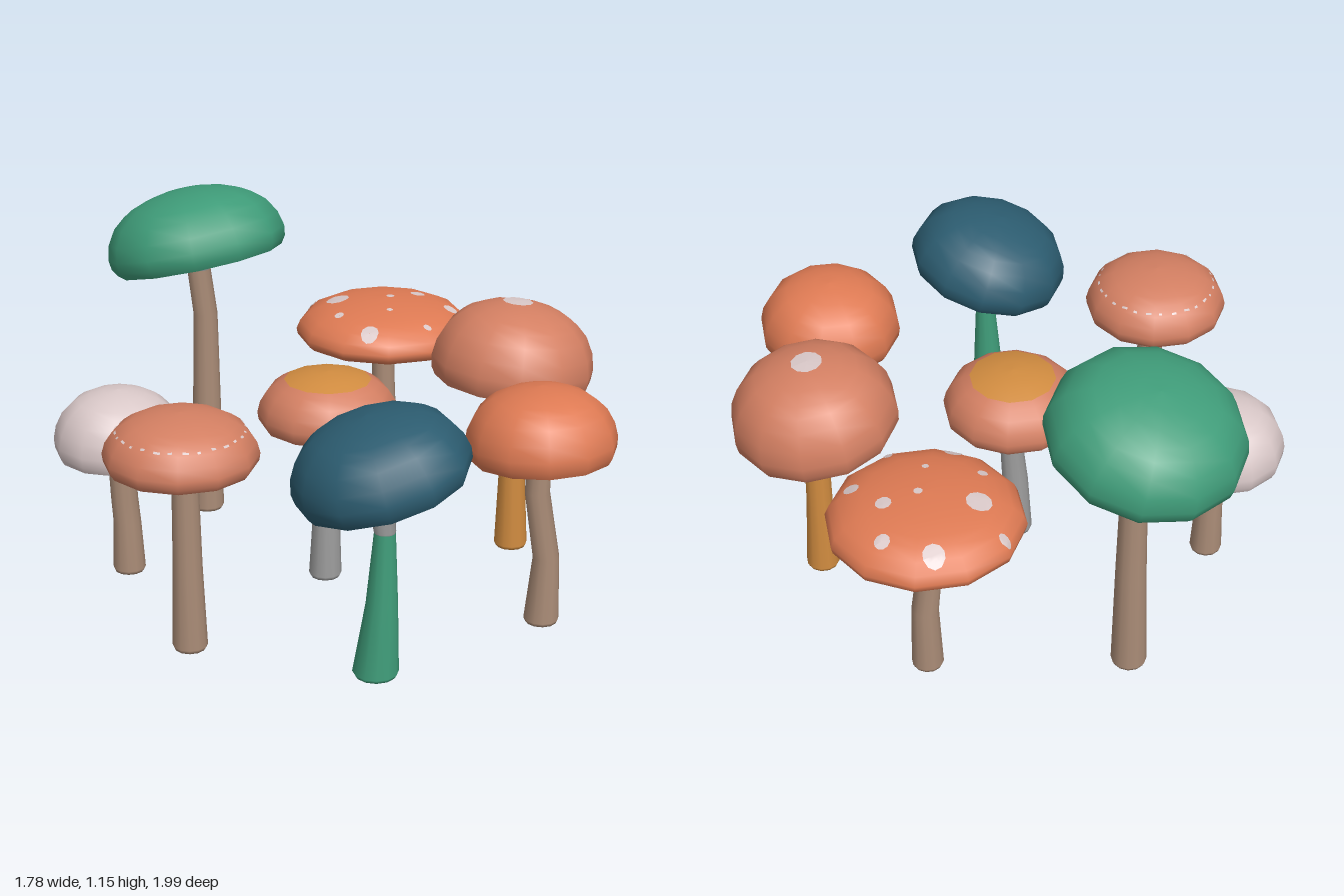
import * as THREE from 'three';

const mat = (name, color) => {
  const m = new THREE.MeshStandardMaterial({ color });
  m.name = name;
  return m;
};
const V = (x, y) => new THREE.Vector2(x, y);
const SIDES = 12;

// Cap outline as fractions of radius and height
const DOME = [[0.93, 0], [0.985, 0.1], [1, 0.24], [0.96, 0.44], [0.86, 0.64], [0.73, 0.77], [0.62, 0.85], [0.44, 0.93], [0.22, 0.985], [0, 1]];
const GILLS = [[0.08, 0.3], [0.3, 0.26], [0.6, 0.18], [0.87, 0.03], [0.93, 0]];

export function createModel() {
  const green = mat('green', 0x3f9c79);
  const blue = mat('deep blue', 0x2c5c70);
  const orange = mat('orange', 0xde7a53);
  const salmon = mat('salmon', 0xd37f62);
  const pale = mat('pale pink', 0xd9c8c8);
  const tan = mat('tan', 0xaa8c77);
  const gold = mat('gold', 0xd18c40);
  const grey = mat('grey', 0x9d9d9d);

  const root = new THREE.Group();
  root.name = 'mushroomCluster';

  const add = (parent, name, geo, material) => {
    const m = new THREE.Mesh(geo, material);
    m.name = name;
    parent.add(m);
    return m;
  };

  // Bent, tapering stem through stations [y, x, z, radius]
  const stem = (parent, name, stations, material) => {
    const [y0, x0, z0, r0] = stations[0];
    const s = [[y0, x0, z0, 0], [y0, x0, z0, r0 * 0.9], [y0 + 0.012, x0, z0, r0], ...stations.slice(1)];
    const geo = new THREE.LatheGeometry(s.map(([y, , , r]) => V(r, y)), SIDES);
    const p = geo.attributes.position;
    for (let i = 0; i < p.count; i++) {
      const [, x, z] = s[i % s.length];
      p.setX(i, p.getX(i) + x);
      p.setZ(i, p.getZ(i) + z);
    }
    geo.computeBoundingSphere();
    add(parent, name, geo, material);
  };

  const lathe = (profile, r, h) => new THREE.LatheGeometry(profile.map(([a, b]) => V(a * r, b * h)), SIDES);

  // Thin patch laid onto the cap surface
  const patch = (cap, domes, name, geo, x, z) => {
    geo.rotateX(-Math.PI / 2);
    const p = geo.attributes.position;
    const ray = new THREE.Raycaster();
    const down = new THREE.Vector3(0, -1, 0);
    for (let i = 0; i < p.count; i++) {
      const px = p.getX(i) + x, pz = p.getZ(i) + z;
      ray.set(new THREE.Vector3(px + 1e-5, 2, pz + 1e-5), down);
      const hit = ray.intersectObjects(domes)[0];
      p.setXYZ(i, px, (hit ? hit.point.y : 0) + 0.004, pz);
    }
    geo.computeVertexNormals();
    add(cap, name, geo, pale);
  };

  const mushroom = ({ name, pos, r, h, tilt = [0, 0], top, gill, crown, gillCore, stems, spots = [], dashes }) => {
    const g = new THREE.Group();
    g.name = name;
    root.add(g);
    stems.forEach(([material, stations], i) => stem(g, i ? 'upperStem' : 'stem', stations, material));

    const cap = new THREE.Group();
    cap.name = 'cap';
    g.add(cap);
    const domes = [];
    if (crown) {
      domes.push(add(cap, 'capSkin', lathe(DOME.slice(0, 7), r, h), top));
      domes.push(add(cap, 'capCrown', lathe(DOME.slice(6), r, h), crown));
    } else {
      domes.push(add(cap, 'capSkin', lathe(DOME, r, h), top));
    }
    if (gillCore) {
      add(cap, 'gillCore', lathe(GILLS.slice(0, 3), r, h), gillCore);
      add(cap, 'gills', lathe(GILLS.slice(2), r, h), gill);
    } else {
      add(cap, 'gills', lathe(GILLS, r, h), gill);
    }
    spots.forEach(([x, z, s]) => patch(cap, domes, 'spot', new THREE.RingGeometry(0.0005, s, 10, 3), x, z));
    // Broken ring of small flecks
    if (dashes) {
      for (let i = 0; i < 28; i++) {
        const len = 0.05 + 0.07 * ((i * 7) % 5) / 5;
        patch(cap, domes, 'fleck', new THREE.RingGeometry(dashes, dashes + 0.006, 2, 1, i * Math.PI / 14, len), 0, 0);
      }
    }
    cap.position.set(...pos);
    cap.rotation.set(tilt[0], 0, tilt[1]);
  };

  mushroom({
    name: 'tallGreenMushroom', pos: [-0.075, 0.905, -0.68], r: 0.305, h: 0.25, tilt: [-0.24, 0.09],
    top: green, gill: green,
    stems: [
      [tan, [[0.01, -0.085, -0.64, 0.057], [0.4, -0.08, -0.64, 0.048], [0.73, -0.08, -0.638, 0.041], [0.88, -0.08, -0.68, 0.04]]],
      [grey, [[0.87, -0.08, -0.678, 0.04], [0.98, -0.08, -0.695, 0.042]]],
    ],
  });

  mushroom({
    name: 'paleMushroom', pos: [-0.575, 0.43, -0.315], r: 0.21, h: 0.22, top: pale, gill: pale,
    stems: [[tan, [[0.025, -0.565, -0.29, 0.053], [0.2, -0.57, -0.285, 0.045], [0.28, -0.57, -0.3, 0.044], [0.49, -0.575, -0.31, 0.043]]]],
  });

  mushroom({
    name: 'spottedMushroom', pos: [0.5, 0.605, -0.41], r: 0.305, h: 0.145, top: orange, gill: tan,
    stems: [[tan, [[0.025, 0.5, -0.388, 0.051], [0.25, 0.5, -0.38, 0.043], [0.4, 0.49, -0.395, 0.04], [0.64, 0.49, -0.405, 0.038]]]],
    spots: [[-0.13, -0.1, 0.04], [0.075, -0.23, 0.034], [0.19, -0.12, 0.024], [0.13, 0.01, 0.025], [0.18, 0.14, 0.024], [-0.175, 0.18, 0.03],
      [-0.2, 0.025, 0.016], [0.02, 0.005, 0.014], [-0.05, 0.11, 0.011], [0.015, 0.245, 0.014], [-0.15, -0.235, 0.018]],
  });

  mushroom({
    name: 'goldCrownedMushroom', pos: [-0.01, 0.54, 0.05], r: 0.225, h: 0.18, top: salmon, crown: gold, gill: salmon, gillCore: gold,
    stems: [[grey, [[0.025, -0.037, 0.08, 0.053], [0.25, -0.03, 0.075, 0.043], [0.4, -0.015, 0.07, 0.038], [0.59, -0.01, 0.065, 0.037]]]],
  });

  mushroom({
    name: 'goldStemMushroom', pos: [0.615, 0.605, 0.175], r: 0.268, h: 0.272, tilt: [0, -0.12], top: salmon, gill: salmon,
    stems: [[gold, [[0.025, 0.62, 0.2, 0.055], [0.3, 0.62, 0.195, 0.043], [0.67, 0.62, 0.19, 0.038]]]],
    spots: [[-0.01, 0, 0.05]],
  });

  mushroom({
    name: 'bentStemMushroom', pos: [0.37, 0.565, 0.68], r: 0.235, h: 0.228, tilt: [-0.08, 0], top: orange, gill: salmon,
    stems: [[tan, [[0.025, 0.367, 0.713, 0.055], [0.26, 0.355, 0.742, 0.041], [0.45, 0.363, 0.676, 0.039], [0.63, 0.365, 0.68, 0.036]]]],
  });

  mushroom({
    name: 'blueMushroom', pos: [-0.23, 0.615, 0.735], r: 0.27, h: 0.235, tilt: [-0.13, 0.24], top: blue, gill: gold,
    stems: [
      [green, [[0.01, -0.25, 0.72, 0.07], [0.25, -0.24, 0.735, 0.048], [0.48, -0.235, 0.74, 0.032]]],
      [grey, [[0.47, -0.235, 0.74, 0.033], [0.67, -0.255, 0.735, 0.04]]],
    ],
  });

  mushroom({
    name: 'fleckedMushroom', pos: [-0.655, 0.612, 0.275], r: 0.235, h: 0.172, top: salmon, gill: salmon, dashes: 0.19,
    stems: [[tan, [[0.025, -0.655, 0.305, 0.054], [0.3, -0.655, 0.3, 0.045], [0.66, -0.655, 0.295, 0.039]]]],
  });

  return root;
}
